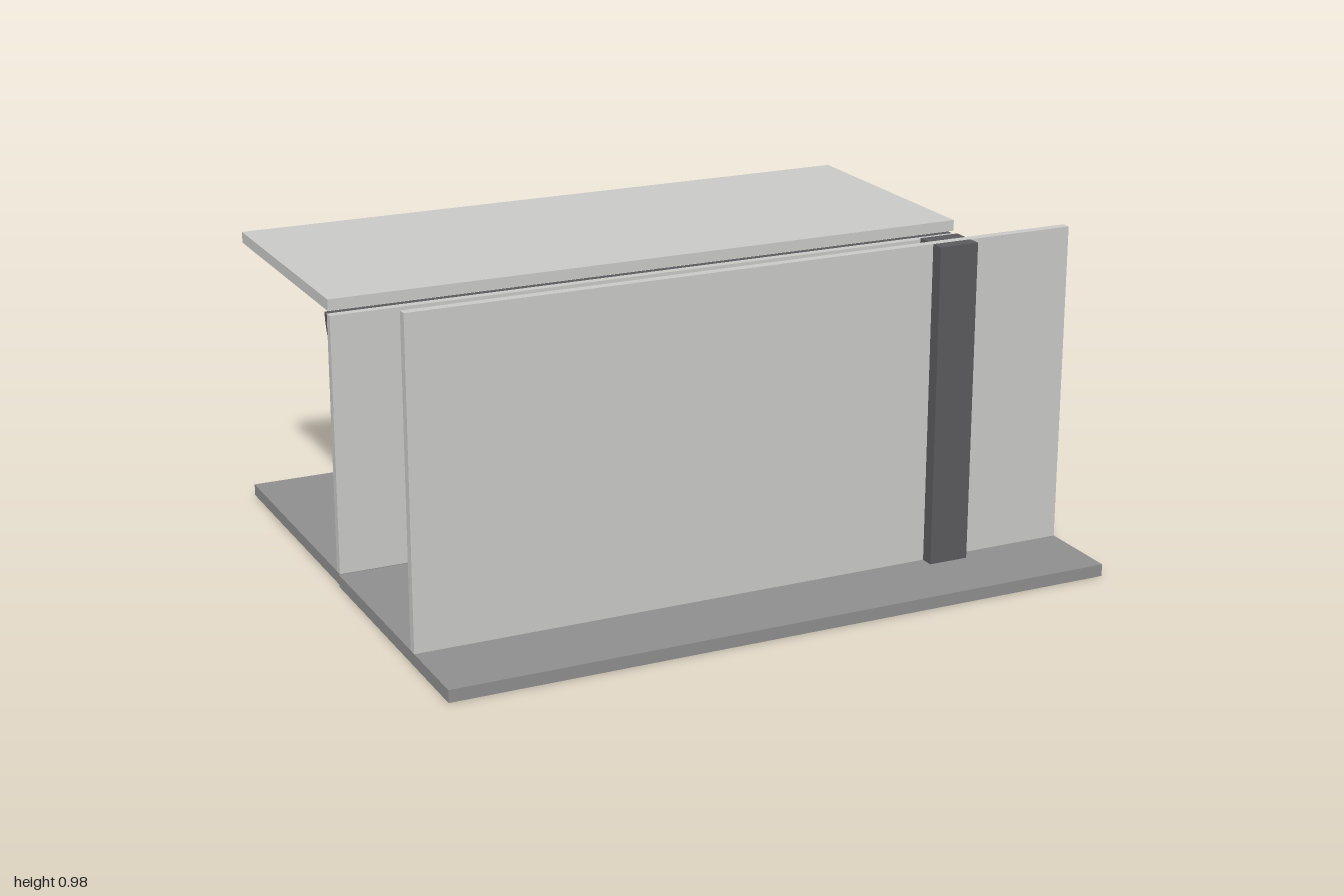
import * as THREE from 'three';

const mat = (name, hex) => {
  const m = new THREE.MeshStandardMaterial({ color: hex });
  m.name = name;
  return m;
};

export function createModel() {
  const light = mat('light grey', 0xcacac8);
  const floorGrey = mat('floor grey', 0x8f8f8f);
  const dark = mat('dark grey', 0x5b5b5e);
  const steel = mat('steel', 0xa9aaab);
  const glass = mat('pale glass', 0xe2e5e6);
  const yellow = mat('yellow', 0xd2b22c);
  const orange = mat('orange', 0xcd8040);

  const model = new THREE.Group();
  model.name = 'carriageSection';

  const add = (name, geo, material, parent = model) => {
    const mesh = new THREE.Mesh(geo, material);
    mesh.name = name;
    parent.add(mesh);
    return mesh;
  };
  // box given by its minimum and maximum on each axis
  const box = (name, m, x0, x1, y0, y1, z0, z1, parent) => {
    const b = add(name, new THREE.BoxGeometry(x1 - x0, y1 - y0, z1 - z0), m, parent);
    b.position.set((x0 + x1) / 2, (y0 + y1) / 2, (z0 + z1) / 2);
    return b;
  };
  const poly = (pts) => pts.map(([x, y]) => new THREE.Vector2(x, y));
  const rect = (x0, x1, y0, y1) => poly([[x0, y0], [x1, y0], [x1, y1], [x0, y1]]);
  const extrude = (shape, depth) =>
    new THREE.ExtrudeGeometry(shape, { depth, bevelEnabled: false, curveSegments: 8 });
  // profile drawn in (z, y), extruded along x from x0 to x1
  const alongX = (name, m, shape, x0, x1, parent) => {
    const geo = extrude(shape, x1 - x0).rotateY(-Math.PI / 2);
    const mesh = add(name, geo, m, parent);
    mesh.position.x = x1;
    return mesh;
  };
  const tube = (name, pts, r, parent) => {
    const path = new THREE.CurvePath();
    const v = pts.map((p) => new THREE.Vector3(...p));
    for (let i = 1; i < v.length; i++) path.add(new THREE.LineCurve3(v[i - 1], v[i]));
    return add(name, new THREE.TubeGeometry(path, 32, r, 8), steel, parent);
  };

  // platform, carriage floor and roof
  box('platformFloor', floorGrey, -1, 1, 0, 0.036, -0.03, 0.83);
  box('carriageFloor', floorGrey, -1, 1, 0.007, 0.042, -0.83, -0.03);
  box('roof', light, -1, 1, 0.815, 0.848, -0.83, -0.035);
  for (const [x0, x1] of [[0.087, 0.47], [-0.585, -0.157]])
    box('ceilingLight', light, x0, x1, 0.798, 0.815, -0.205, -0.09);

  // station wall with a pillar standing through it
  box('stationWall', light, -1, 1, 0.036, 0.975, 0.553, 0.58);
  box('pillarFront', dark, 0.555, 0.675, 0.036, 0.975, 0.58, 0.62);
  box('pillarBack', dark, 0.555, 0.675, 0.036, 0.975, 0.51, 0.553);

  // carriage wall with doorway and window openings
  const wall = new THREE.Shape(poly([
    [-1, 0.042], [0.155, 0.042], [0.155, 0.685], [0.58, 0.685],
    [0.58, 0.042], [1, 0.042], [1, 0.805], [-1, 0.805],
  ]));
  wall.holes.push(new THREE.Path(rect(-0.65, -0.3, 0.38, 0.658)));
  add('carriageWall', extrude(wall, 0.025), light).position.z = -0.045;

  const frame = new THREE.Shape(rect(-0.662, -0.288, 0.368, 0.67));
  frame.holes.push(new THREE.Path(rect(-0.65, -0.3, 0.38, 0.658)));
  add('windowFrame', extrude(frame, 0.004), steel).position.z = -0.049;

  // slanted dark panel where wall meets roof
  alongX('coveTrim', dark,
    new THREE.Shape(poly([[-0.045, 0.735], [-0.045, 0.805], [-0.066, 0.805], [-0.06, 0.775]])), -1, 1);

  // sliding doors, parted
  const doors = new THREE.Group();
  doors.name = 'doors';
  model.add(doors);
  for (const s of [-1, 1]) {
    const cx = 0.3675;
    const side = (name, m, a, b, y0, y1, z0, z1) =>
      box(name, m, cx + Math.min(s * a, s * b), cx + Math.max(s * a, s * b), y0, y1, z0, z1, doors);
    side('doorLeaf', light, 0.122, 0.336, 0.042, 0.688, -0.02, -0.016);
    side('doorEdge', dark, 0.116, 0.123, 0.042, 0.688, -0.03, -0.014);
    side('doorGlass', glass, 0.133, 0.208, 0.36, 0.66, -0.021, -0.015);
    side('doorJamb', dark, 0.208, 0.214, 0.042, 0.685, -0.048, -0.02);
    side('doorHandle', dark, 0.225, 0.255, 0.29, 0.3, -0.016, -0.013);
  }
  box('doorHeader', light, 0.245, 0.49, 0.68, 0.71, -0.022, -0.014, doors);
  box('doorSill', dark, 0.245, 0.49, 0.036, 0.046, -0.045, -0.014, doors);

  // small fittings on the inner wall
  box('doorControl', dark, 0.11, 0.145, 0.665, 0.7, -0.053, -0.045);
  box('alarmBox', dark, -0.115, -0.09, 0.645, 0.67, -0.053, -0.045);

  // bench base with rounded front edges
  const bench = new THREE.Group();
  bench.name = 'bench';
  model.add(bench);
  const base = new THREE.Shape();
  base.moveTo(-0.045, 0.042);
  base.lineTo(-0.045, 0.175);
  base.lineTo(-0.175, 0.175);
  base.quadraticCurveTo(-0.205, 0.175, -0.205, 0.145);
  base.lineTo(-0.205, 0.042);
  alongX('benchBase', light, base, -0.66, 0.06, bench);
  box('benchGrille', dark, -0.62, 0.04, 0.052, 0.118, -0.209, -0.204, bench);

  // four seats: two yellow, two orange
  const cushion = new THREE.Shape(poly([
    [-0.06, 0.172], [-0.06, 0.19], [-0.195, 0.205], [-0.212, 0.198], [-0.212, 0.18], [-0.2, 0.172],
  ]));
  const back = new THREE.Shape(poly([
    [-0.048, 0.18], [-0.048, 0.33], [-0.064, 0.33], [-0.086, 0.192],
  ]));
  for (let i = 0; i < 4; i++) {
    const x1 = 0.05 - i * 0.1675;
    const m = i < 2 ? yellow : orange;
    alongX('seatCushion', m, cushion, x1 - 0.162, x1, bench);
    alongX('seatBack', m, back, x1 - 0.162, x1, bench);
  }

  // single folding seat
  box('foldingSeat', orange, 0.615, 0.745, 0.175, 0.197, -0.21, -0.065);
  box('foldingSeatBracket', steel, 0.66, 0.7, 0.15, 0.175, -0.12, -0.045);

  // partition beside the doorway
  box('partition', light, 0.07, 0.082, 0.042, 0.39, -0.228, -0.045);

  // upright poles and rails
  const z = -0.232;
  for (const x of [0.1, -0.685]) tube('pole', [[x, 0.042, z], [x, 0.815, z]], 0.006);
  tube('partitionRail', [[0.1, 0.405, -0.045], [0.1, 0.405, z]], 0.006);
  tube('seatRail', [[0.633, 0.042, z], [0.633, 0.385, z], [0.633, 0.405, z + 0.02], [0.633, 0.405, -0.045]], 0.006);

  return model;
}
